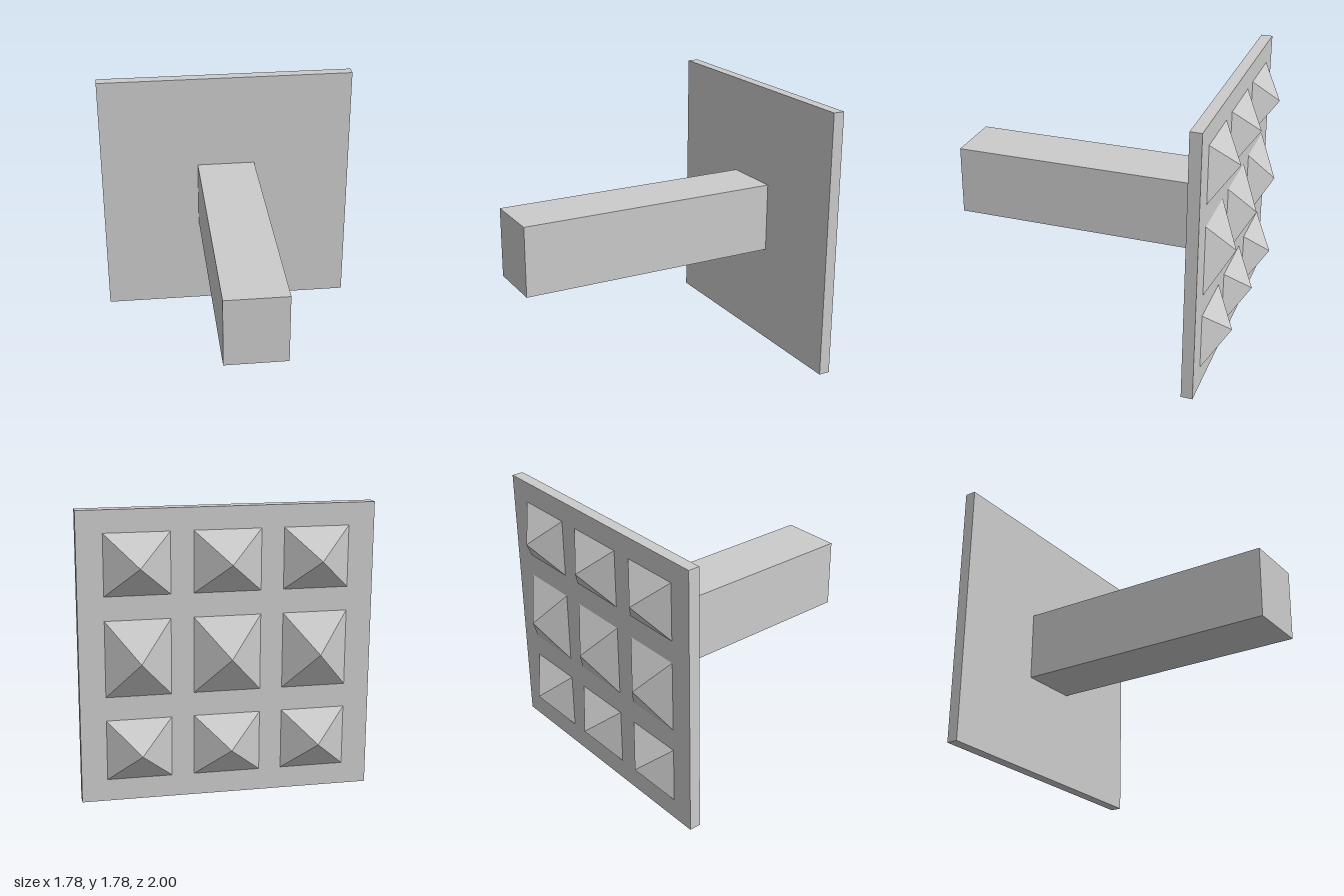
import * as THREE from 'three';

export function createModel() {
  const group = new THREE.Group();
  const material = new THREE.MeshStandardMaterial({ color: 0xcccccc, flatShading: true });
  const midY = 0.89, plateFront = -0.778, plateBack = -0.853;

  function add(name, geometry, x, y, z) {
    const mesh = new THREE.Mesh(geometry, material);
    mesh.name = name;
    mesh.position.set(x, y, z);
    group.add(mesh);
  }

  // Square head plate
  add('plate', new THREE.BoxGeometry(1.78, 1.78, plateFront - plateBack),
    0, midY, (plateFront + plateBack) / 2);

  // Straight handle running forward from the plate
  const handleLength = 1 - plateFront;
  add('handle', new THREE.BoxGeometry(0.406, 0.467, handleLength),
    0, midY, plateFront + handleLength / 2);

  // 3 x 3 grid of pyramid spikes on the back, the middle row and column larger
  const columns = [[-0.537, 0.395], [0, 0.406], [0.537, 0.395]];
  const rows = [[-0.567, 0.374], [0, 0.467], [0.567, 0.374]];
  const height = 1 + plateBack;
  for (const [x, width] of columns) {
    for (const [y, tall] of rows) {
      const spike = new THREE.ConeGeometry(Math.SQRT1_2, 1, 4, 1, true)
        .rotateY(Math.PI / 4)
        .rotateX(-Math.PI / 2)
        .scale(width, tall, height);
      add('spike', spike, x, midY + y, plateBack - height / 2);
    }
  }
  return group;
}
